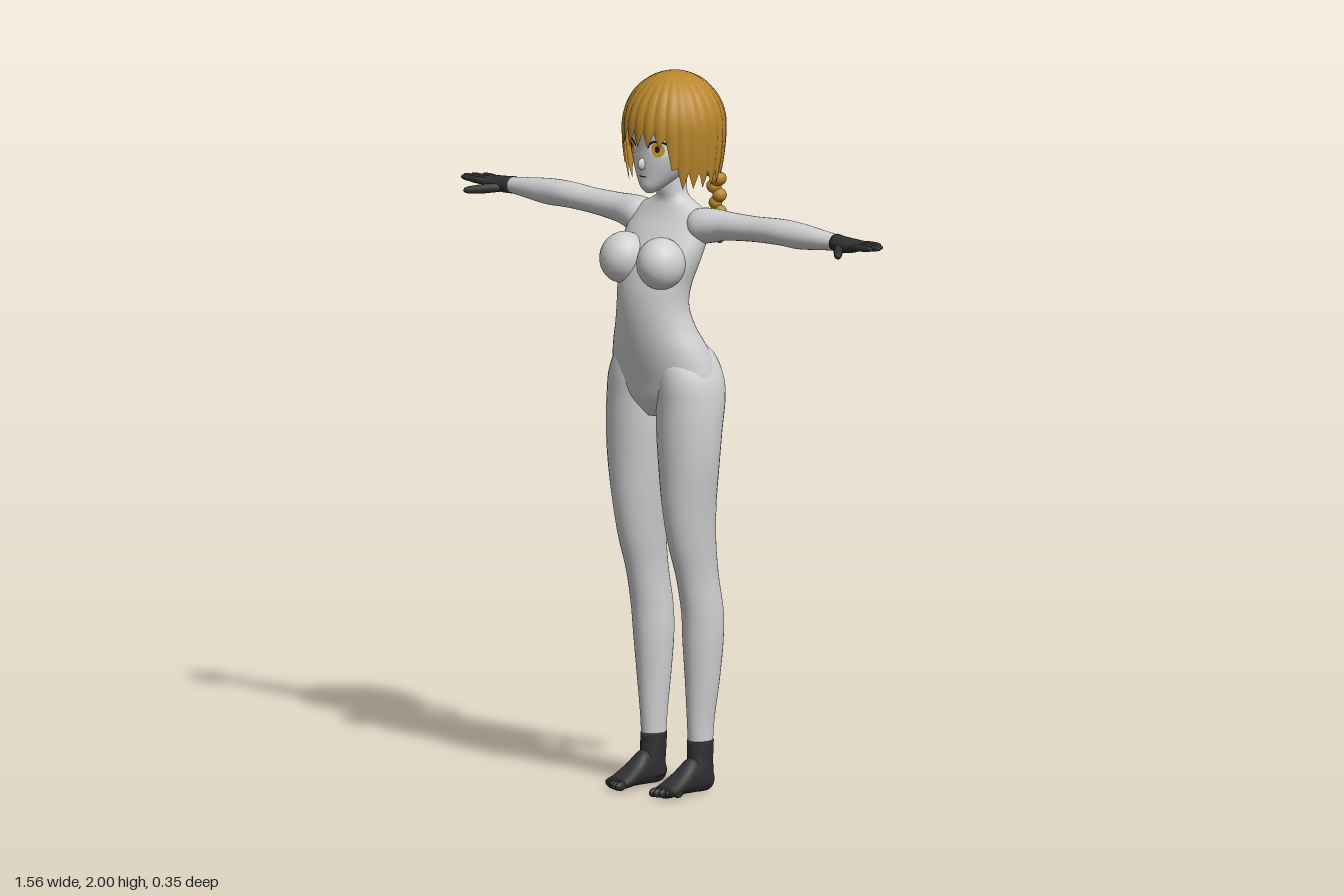
import * as THREE from 'three';

const mat = (name, color, side = THREE.FrontSide) => {
  const m = new THREE.MeshStandardMaterial({ color, side });
  m.name = name;
  return m;
};

// Closed-around surface: fn(s, a) gives a point, s in 0..1 along, a in 0..2PI around
function tubeGrid(rows, cols, fn, capped) {
  const pos = [], idx = [];
  for (let i = 0; i <= rows; i++)
    for (let j = 0; j < cols; j++) pos.push(...fn(i / rows, (j / cols) * Math.PI * 2));
  for (let i = 0; i < rows; i++)
    for (let j = 0; j < cols; j++) {
      const k = (j + 1) % cols, a = i * cols + j, b = i * cols + k;
      idx.push(a, a + cols, b, b, a + cols, b + cols);
    }
  if (capped)
    for (const r of [0, rows]) {
      const c = new THREE.Vector3(), n = pos.length / 3;
      for (let j = 0; j < cols; j++) c.add(new THREE.Vector3().fromArray(pos, (r * cols + j) * 3));
      pos.push(...c.divideScalar(cols).toArray());
      for (let j = 0; j < cols; j++) {
        const a = r * cols + j, b = r * cols + ((j + 1) % cols);
        idx.push(...(r ? [n, b, a] : [n, a, b]));
      }
    }
  const g = new THREE.BufferGeometry();
  g.setAttribute('position', new THREE.Float32BufferAttribute(pos, 3));
  g.setIndex(idx);
  g.computeVertexNormals();
  return g;
}

// Smooth interpolation of section rows [t, uMin, uMax, vMin, vMax]
function sectionAt(keys, t) {
  let i = 0;
  while (i < keys.length - 2 && t > keys[i + 1][0]) i++;
  const A = keys[i], B = keys[i + 1], P = keys[Math.max(i - 1, 0)], N = keys[Math.min(i + 2, keys.length - 1)];
  const h = B[0] - A[0], s = (t - A[0]) / h, s2 = s * s, s3 = s2 * s;
  return [1, 2, 3, 4].map((c) => {
    const m0 = (B[c] - P[c]) / (B[0] - P[0]), m1 = (N[c] - A[c]) / (N[0] - A[0]);
    return A[c] * (2 * s3 - 3 * s2 + 1) + B[c] * (3 * s2 - 2 * s3) + h * (m0 * (s3 - 2 * s2 + s) + m1 * (s3 - s2));
  });
}

// Loft of elliptical sections. axis y: u=x v=z; axis x: u=z v=y; axis z: u=y v=x
function loft(keys, axis = 'y', rows = 40, cols = 32) {
  const t0 = keys[0][0], t1 = keys[keys.length - 1][0];
  return tubeGrid(rows, cols, (s, a) => {
    const t = t0 + (t1 - t0) * s, [u0, u1, v0, v1] = sectionAt(keys, t);
    const u = (u0 + u1) / 2 + ((u1 - u0) / 2) * Math.cos(a), v = (v0 + v1) / 2 + ((v1 - v0) / 2) * Math.sin(a);
    return axis === 'y' ? [u, t, v] : axis === 'x' ? [t, v, u] : [v, u, t];
  }, true);
}

function mirrored(g) {
  const m = g.clone().scale(-1, 1, 1), ix = m.index.array;
  for (let i = 0; i < ix.length; i += 3) [ix[i], ix[i + 1]] = [ix[i + 1], ix[i]];
  return m;
}

const ball = (x, y, z, rx, ry, rz, tilt = 0) =>
  new THREE.SphereGeometry(1, 20, 14).scale(rx, ry, rz).rotateZ(tilt).translate(x, y, z);

// Tapered, round-ended digit between two points
function digit(from, to, r) {
  const a = new THREE.Vector3(...from), d = new THREE.Vector3(...to).sub(a), len = d.length();
  const pts = [[0, 0], [r, 0], [r * 1.05, len * 0.4], [r * 0.8, len * 0.85], [r * 0.5, len * 0.97], [0, len]];
  const g = new THREE.LatheGeometry(pts.map((p) => new THREE.Vector2(...p)), 12);
  g.applyQuaternion(new THREE.Quaternion().setFromUnitVectors(new THREE.Vector3(0, 1, 0), d.normalize()));
  return g.translate(a.x, a.y, a.z);
}

const HEAD = [
  [1.674, -0.012, 0.012, 0.06, 0.084], [1.688, -0.03, 0.03, 0.025, 0.097], [1.72, -0.06, 0.06, -0.03, 0.1],
  [1.76, -0.086, 0.086, -0.08, 0.102], [1.8, -0.099, 0.099, -0.11, 0.102], [1.86, -0.106, 0.106, -0.13, 0.106],
  [1.93, -0.085, 0.085, -0.11, 0.078], [1.97, -0.03, 0.03, -0.06, 0.02],
];

// Painted patch that hugs the curved face
function facePatch(x, y, rx, ry, lift, inner = 0, start = 0, arc = Math.PI * 2) {
  const g = new THREE.RingGeometry(inner, 1, 28, 5, start, arc).scale(rx, ry, 1).translate(x, y, 0);
  const p = g.attributes.position;
  for (let i = 0; i < p.count; i++) {
    const [x0, x1, z0, z1] = sectionAt(HEAD, p.getY(i)), q = (2 * p.getX(i)) / (x1 - x0);
    p.setZ(i, (z0 + z1) / 2 + ((z1 - z0) / 2) * Math.sqrt(Math.max(0, 1 - q * q)) + lift);
  }
  g.computeVertexNormals();
  return g;
}

// Hair shell: domed top, tapered sides, jagged lower edge that lifts over the face
function hairShell() {
  const locks = 26;
  return tubeGrid(28, 208, (s, a) => {
    const side = Math.min(a, Math.PI * 2 - a);
    const saw = Math.abs((((a * locks) / (Math.PI * 2)) % 1) - 0.5) * 2;
    const drop = THREE.MathUtils.smoothstep(side, 0.5, 0.95), back = THREE.MathUtils.smoothstep(side, 1.8, 2.6);
    const edge = 1.805 - 0.115 * drop + 0.025 * back + (0.045 - 0.02 * back) * (1 - saw);
    const y = 2 - (2 - edge) * (1 - Math.cos((s * Math.PI) / 2)), d = y - 1.85;
    const r = d > 0 ? Math.sqrt(Math.max(0, 1 - (d / 0.15) ** 2)) : 1 - 5.5 * d * d;
    const rib = 0.965 + 0.035 * Math.sqrt(saw);
    return [0.141 * r * rib * Math.sin(a), y, -0.025 + 0.148 * r * rib * Math.cos(a)];
  }, false);
}

export function createModel() {
  const model = new THREE.Group();
  model.name = 'figure';
  const body = mat('bodyGrey', 0xd0d0d3), hair = mat('hairGold', 0xb9862c, THREE.DoubleSide);
  const dark = mat('charcoal', 0x303032), white = mat('eyeWhite', 0xf0f0f0, THREE.DoubleSide);
  const iris = mat('irisAmber', 0xd39a3c, THREE.DoubleSide), black = mat('lashBlack', 0x1c1614, THREE.DoubleSide);
  const add = (name, g, m) => {
    const mesh = new THREE.Mesh(g, m);
    mesh.name = name;
    model.add(mesh);
  };
  const pair = (name, g, m) => {
    add(name + 'Left', g, m);
    add(name + 'Right', mirrored(g), m);
  };

  // Torso and neck
  add('torso', loft([
    [1.05, -0.03, 0.03, -0.01, 0.07], [1.1, -0.125, 0.125, -0.07, 0.1], [1.15, -0.168, 0.168, -0.085, 0.112],
    [1.2, -0.162, 0.162, -0.088, 0.125], [1.25, -0.145, 0.145, -0.07, 0.136], [1.3, -0.123, 0.123, -0.045, 0.144],
    [1.36, -0.109, 0.109, -0.028, 0.148], [1.42, -0.112, 0.112, -0.036, 0.142], [1.5, -0.132, 0.132, -0.06, 0.115],
    [1.56, -0.137, 0.137, -0.073, 0.075], [1.6, -0.128, 0.128, -0.074, 0.045], [1.63, -0.095, 0.095, -0.068, 0.028],
    [1.648, -0.055, 0.055, -0.062, 0.022], [1.67, -0.042, 0.042, -0.058, 0.026], [1.76, -0.04, 0.04, -0.06, 0.03],
  ], 'y', 70, 44), body);
  pair('chest', ball(0.069, 1.488, 0.102, 0.066, 0.072, 0.071, 0.15), body);

  // Legs, overlapping the hips
  pair('leg', loft([
    [0.12, 0.057, 0.118, -0.073, 0], [0.2, 0.054, 0.122, -0.08, 0.005], [0.3, 0.047, 0.134, -0.092, 0.01],
    [0.42, 0.041, 0.144, -0.104, 0.02], [0.5, 0.043, 0.146, -0.103, 0.028], [0.6, 0.045, 0.143, -0.086, 0.05],
    [0.7, 0.037, 0.15, -0.073, 0.08], [0.8, 0.026, 0.161, -0.068, 0.097], [0.92, 0.013, 0.178, -0.068, 0.104],
    [1.02, 0.003, 0.185, -0.077, 0.106], [1.1, 0.001, 0.184, -0.092, 0.106], [1.16, 0.002, 0.174, -0.095, 0.108],
    [1.22, 0.01, 0.145, -0.08, 0.1], [1.26, 0.04, 0.11, -0.04, 0.06],
  ], 'y', 64), body);

  // Feet: ankle sleeve, sole and toes
  pair('ankle', loft([
    [0.02, 0.062, 0.115, -0.076, -0.005], [0.05, 0.06, 0.12, -0.077, 0.015],
    [0.09, 0.056, 0.12, -0.075, 0.006], [0.142, 0.054, 0.121, -0.077, 0.003],
  ], 'y', 14, 24), dark);
  pair('foot', loft([
    [-0.08, 0.015, 0.045, 0.078, 0.1], [-0.06, 0, 0.075, 0.064, 0.116], [0, 0, 0.098, 0.059, 0.12],
    [0.05, 0.002, 0.066, 0.054, 0.125], [0.09, 0, 0.043, 0.051, 0.128], [0.115, 0, 0.034, 0.055, 0.127],
  ], 'z', 24, 24), dark);
  for (let i = 0; i < 5; i++)
    pair('toe' + i, ball(0.063 + i * 0.0142, 0.014, 0.122 - i * i * 0.0022, 0.01 - i * 0.0006, 0.013, 0.019), dark);

  // Arms
  pair('arm', loft([
    [0.07, -0.05, 0.01, 1.56, 1.62], [0.11, -0.07, 0.035, 1.535, 1.632], [0.15, -0.074, 0.032, 1.54, 1.634],
    [0.2, -0.068, 0.022, 1.552, 1.632], [0.3, -0.066, 0.016, 1.562, 1.632], [0.4, -0.066, 0.018, 1.566, 1.638],
    [0.47, -0.064, 0.013, 1.564, 1.636], [0.55, -0.056, 0.006, 1.572, 1.628], [0.625, -0.05, -0.004, 1.58, 1.62],
  ], 'x', 44, 28), body);

  // Hands
  pair('palm', loft([
    [0.605, -0.055, 0.001, 1.576, 1.624], [0.635, -0.054, 0.006, 1.576, 1.621],
    [0.67, -0.06, 0.01, 1.58, 1.618], [0.7, -0.06, 0.008, 1.59, 1.615], [0.71, -0.054, 0.002, 1.596, 1.611],
  ], 'x', 14, 24), dark);
  [[-0.05, -0.056, 0.745], [-0.033, -0.037, 0.77], [-0.015, -0.017, 0.781], [0.001, 0.004, 0.77]].forEach(([z0, z1, x], i) =>
    pair('finger' + i, digit([0.685, 1.602, z0], [x, 1.606, z1], 0.0095), dark));
  pair('thumb', digit([0.635, 1.592, -0.005], [0.702, 1.585, 0.07], 0.0125), dark);

  // Head and face
  add('head', loft(HEAD, 'y', 36, 40), body);
  add('nose', ball(0, 1.757, 0.101, 0.009, 0.017, 0.018), body);
  pair('ear', ball(0.1, 1.785, -0.02, 0.01, 0.03, 0.02), body);
  add('mouth', facePatch(0, 1.722, 0.014, 0.0018, 0.002), black);
  pair('eyeWhite', facePatch(0.05, 1.8, 0.027, 0.022, 0.002), white);
  pair('iris', facePatch(0.048, 1.8, 0.016, 0.021, 0.004), iris);
  pair('pupil', facePatch(0.048, 1.802, 0.006, 0.009, 0.0055), black);
  pair('upperLash', facePatch(0.05, 1.8, 0.031, 0.027, 0.006, 0.8, 0.25, 2.65), black);

  // Hair cap with fringe
  add('hairCap', hairShell(), hair);

  // Braids with alternating strands, a tie and a loose tuft
  for (let i = 0; i < 7; i++) {
    const k = 1 - i * 0.055, s = i % 2 ? 1 : -1;
    pair('braidStrand' + i, ball(0.086 + s * 0.011 * k, 1.722 - i * 0.023, -0.098 - i * 0.0025, 0.024 * k, 0.019, 0.024 * k, s * 0.6), hair);
  }
  pair('braidTie', ball(0.086, 1.568, -0.114, 0.012, 0.008, 0.012), hair);
  pair('braidTuft', loft([
    [1.517, 0.081, 0.09, -0.122, -0.112], [1.535, 0.068, 0.104, -0.132, -0.1],
    [1.552, 0.07, 0.102, -0.13, -0.099], [1.57, 0.078, 0.094, -0.121, -0.107],
  ], 'y', 12, 14), hair);

  return model;
}
